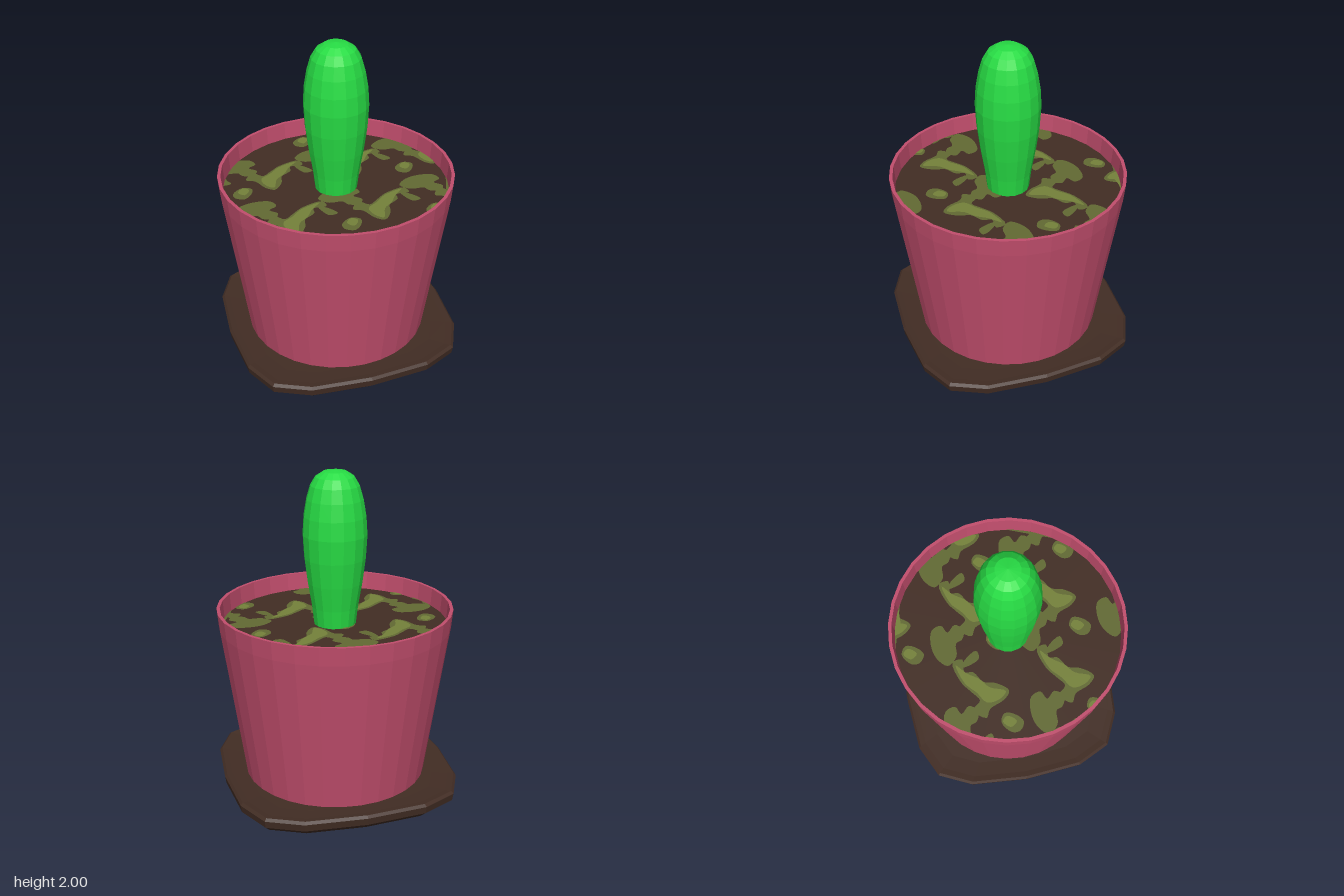
import * as THREE from 'three';

const mat = (name, color, flat = true) => {
  const m = new THREE.MeshStandardMaterial({ color });
  m.name = name;
  m.flatShading = flat;
  return m;
};

// Flat-sided turned body from [radius, height] pairs, listed bottom to top
const turned = (profile, sides) =>
  new THREE.LatheGeometry(profile.map(([r, y]) => new THREE.Vector2(r, y)), sides);

// Saucer: a turned section stretched onto a rounded-square outline
function saucerGeometry() {
  const section = [[0, 0], [0.75, 0.005], [0.86, 0.015], [0.94, 0.035], [0.99, 0.07],
    [1, 0.115], [0.98, 0.13], [0.93, 0.125], [0.8, 0.118], [0, 0.115]];
  const quarter = [[0, 0.71], [0.37, 0.68], [0.58, 0.58], [0.68, 0.37]];
  const geo = turned(section, 16);
  const pos = geo.attributes.position;
  for (let i = 0; i <= 16; i++) {
    let [x, z] = quarter[i % 4];
    for (let q = 0; q < Math.floor(i / 4) % 4; q++) [x, z] = [z, -x];
    section.forEach(([k, y], j) => pos.setXYZ(i * section.length + j, x * k, y, z * k));
  }
  geo.computeVertexNormals();
  return geo;
}

// Moss outlines as [x, z], repeated over the soil in a regular grid
const mossDark = [
  [[-0.15, -0.39], [-0.09, -0.45], [0, -0.47], [0.09, -0.45], [0.11, -0.39], [0.06, -0.36],
    [0.1, -0.31], [0.06, -0.26], [0, -0.28], [-0.02, -0.32], [-0.1, -0.33]],
  [[0.25, -0.33], [0.38, -0.36], [0.39, -0.3], [0.31, -0.3], [0.3, -0.25], [0.23, -0.2],
    [0.21, -0.13], [0.15, -0.06], [0.1, -0.1], [0.06, -0.19], [0.01, -0.22], [0.07, -0.29],
    [0.12, -0.24], [0.18, -0.28]],
  [[0.34, -0.31], [0.38, -0.29], [0.43, -0.21], [0.38, -0.2], [0.35, -0.25]],
  [[-0.1, -0.6], [-0.03, -0.65], [0.02, -0.62], [0, -0.56], [-0.05, -0.52], [-0.1, -0.55]],
];
const mossLight = [
  [[0.24, -0.31], [0.36, -0.345], [0.3, -0.29], [0.25, -0.22], [0.19, -0.17], [0.15, -0.08],
    [0.11, -0.12], [0.1, -0.2], [0.17, -0.25]],
  [[-0.07, -0.6], [-0.03, -0.64], [0, -0.61], [-0.04, -0.56]],
];

function mossPatches(outlines, material, y, name) {
  const group = new THREE.Group();
  group.name = name;
  const limit = 0.68;
  for (const outline of outlines) {
    const curve = new THREE.CatmullRomCurve3(
      outline.map(([x, z]) => new THREE.Vector3(x, -z, 0)), true);
    const base = curve.getPoints(outline.length * 4).slice(0, -1);
    for (let ix = -2; ix <= 2; ix++) for (let iz = -1; iz <= 3; iz++) {
      const pts = base.map(p => new THREE.Vector2(p.x + ix * 0.515, p.y - iz * 0.51));
      if (pts.filter(p => p.length() < limit).length < 4) continue;
      pts.forEach(p => p.clampLength(0, limit));
      const mesh = new THREE.Mesh(new THREE.ShapeGeometry(new THREE.Shape(pts)), material);
      mesh.name = 'mossPatch';
      mesh.rotation.x = -Math.PI / 2;
      mesh.position.y = y;
      group.add(mesh);
    }
  }
  return group;
}

export function createModel() {
  const model = new THREE.Group();
  model.name = 'pottedCactus';
  const add = (name, geo, material) => {
    const mesh = new THREE.Mesh(geo, material);
    mesh.name = name;
    model.add(mesh);
  };
  const earth = mat('earthBrown', 0x422d24);
  const soilY = 1.07;

  add('saucer', saucerGeometry(), earth);

  // Tapered pot with an upright collar, hollow above the soil
  add('pot', turned([[0, 0.1], [0.56, 0.1], [0.7, 1.07], [0.71, 1.18], [0.69, 1.18],
    [0.68, 1.04]], 32), mat('potPink', 0xc24e6d));

  // Soil surface
  const soil = new THREE.CircleGeometry(0.69, 32);
  soil.rotateX(-Math.PI / 2).translate(0, soilY, 0);
  add('soil', soil, earth);
  model.add(mossPatches(mossDark, mat('mossDark', 0x626a33), soilY + 0.003, 'darkMoss'));
  model.add(mossPatches(mossLight, mat('mossLight', 0x75823a), soilY + 0.006, 'lightMoss'));

  // Cactus: narrow foot, full middle, rounded crown
  add('cactus', turned([[0.125, 1.05], [0.14, 1.18], [0.165, 1.33], [0.184, 1.48],
    [0.192, 1.62], [0.185, 1.73], [0.168, 1.83], [0.145, 1.91], [0.115, 1.96],
    [0.07, 1.99], [0, 2]], 16), mat('cactusGreen', 0x27dc44));

  return model;
}
